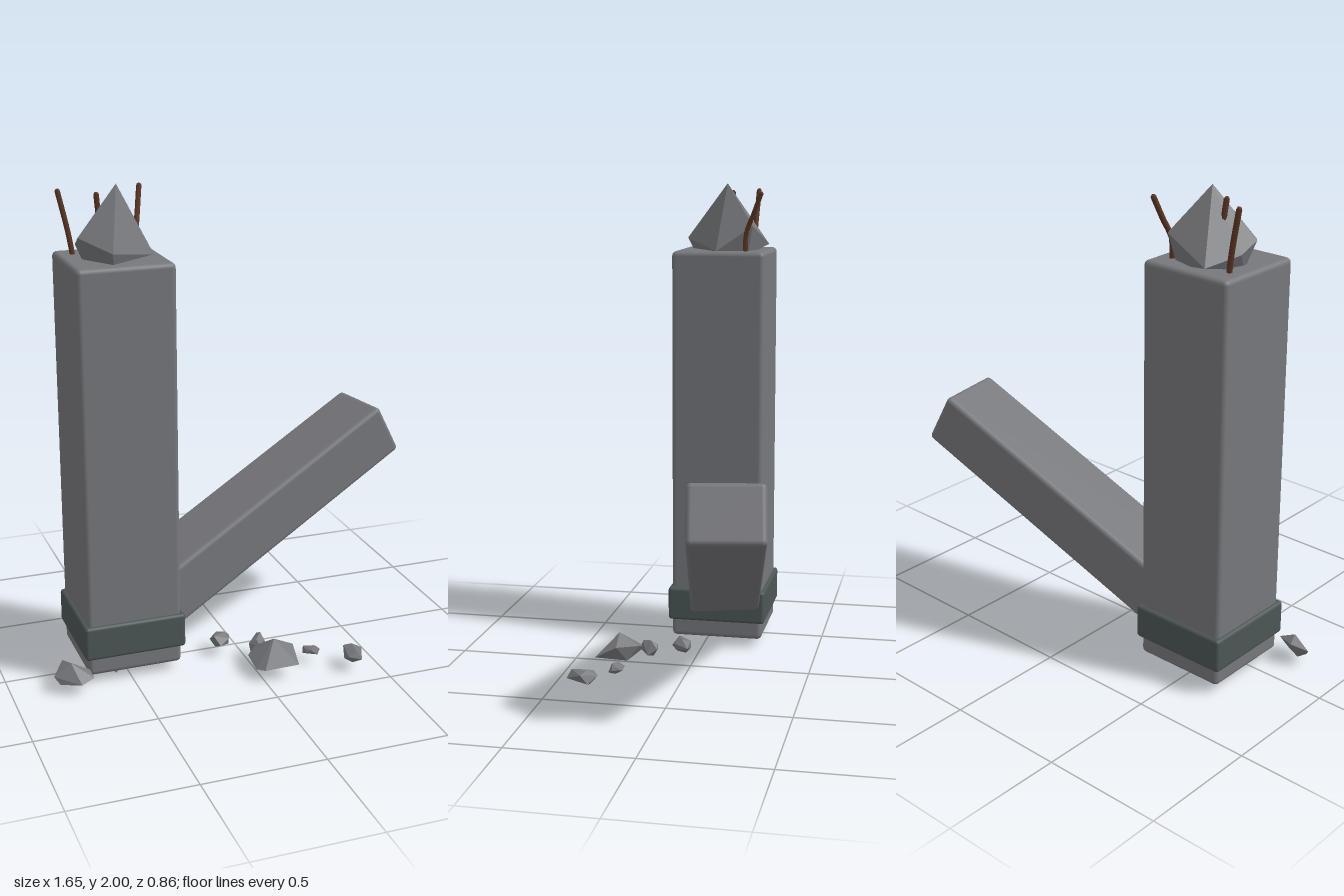
import * as THREE from 'three';
import { RoundedBoxGeometry } from 'three/addons/geometries/RoundedBoxGeometry.js';
import { ConvexGeometry } from 'three/addons/geometries/ConvexGeometry.js';

function material(name, color, flatShading = false) {
  const m = new THREE.MeshStandardMaterial({ color, flatShading });
  m.name = name;
  return m;
}

// Small seeded generator for rock irregularity
function seeded(seed) {
  let s = seed * 7919 + 17;
  return () => (s = (s * 16807) % 2147483647) / 2147483647;
}

// Convex chunk, turned by yaw and fitted to the box min..max
function rockGeometry(seed, min, max, yaw = 0, stretch = 1) {
  const rnd = seeded(seed), n = 11, pts = [];
  for (let i = 0; i < n; i++) {
    const y = 1 - (2 * (i + 0.5)) / n, r = Math.sqrt(1 - y * y), a = i * 2.4 + rnd() * 0.7;
    const k = 0.85 + rnd() * 0.3;
    const p = new THREE.Vector3(Math.cos(a) * r * k * stretch, y * k, Math.sin(a) * r * k);
    pts.push(p.applyAxisAngle(new THREE.Vector3(0, 1, 0), yaw));
  }
  const box = new THREE.Box3().setFromPoints(pts), size = box.getSize(new THREE.Vector3());
  const lo = new THREE.Vector3(...min), span = new THREE.Vector3(...max).sub(lo);
  for (const p of pts) p.sub(box.min).divide(size).multiply(span).add(lo);
  return new ConvexGeometry(pts);
}

const hull = (points) => new ConvexGeometry(points.map((p) => new THREE.Vector3(...p)));

export function createModel() {
  const model = new THREE.Group();
  model.name = 'ruinedPillar';
  const stone = material('stone', 0x77787c);
  const darkStone = material('dark band', 0x4c5656);
  const wood = material('dry twig', 0x5a3524);

  const add = (name, geometry, mat, x = 0, y = 0, z = 0) => {
    const mesh = new THREE.Mesh(geometry, mat);
    mesh.name = name;
    mesh.position.set(x, y, z);
    model.add(mesh);
    return mesh;
  };

  // Standing pillar and its base band
  add('pillar', new RoundedBoxGeometry(0.395, 1.685, 0.395, 3, 0.02), stone, -0.483, 0.8775, -0.058);
  add('baseBand', new RoundedBoxGeometry(0.425, 0.145, 0.425, 3, 0.014), darkStone, -0.483, 0.1825, -0.058);

  // Fallen block leaning against the pillar; its free end is at the given point
  const length = 1.32, yaw = 0.178, pitch = 0.49;
  const end = new THREE.Vector3(0.745, 0.85, -0.28);
  const along = new THREE.Vector3(
    Math.cos(pitch) * Math.cos(yaw), Math.sin(pitch), -Math.cos(pitch) * Math.sin(yaw));
  const beam = add('leaningBlock', new RoundedBoxGeometry(length, 0.237, 0.297, 3, 0.02), stone);
  beam.position.copy(end).addScaledVector(along, -length / 2);
  beam.rotation.set(0, yaw, pitch, 'YZX');

  // Pointed broken top
  add('brokenTop', hull([
    [-0.46, 2.0, -0.07],
    [-0.564, 1.74, -0.236], [-0.356, 1.825, -0.196], [-0.32, 1.72, -0.044],
    [-0.529, 1.765, 0.116], [-0.631, 1.81, -0.018], [-0.622, 1.77, -0.098],
    [-0.6, 1.7, -0.05], [-0.52, 1.7, 0.08], [-0.38, 1.7, -0.17],
  ]), stone);

  // Twigs growing around the top
  const twigs = [
    [[-0.615, 1.7, -0.16], [-0.63, 1.8, -0.165], [-0.665, 1.965, -0.175]],
    [[-0.352, 1.7, -0.165], [-0.353, 1.8, -0.17], [-0.338, 1.87, -0.2], [-0.32, 1.96, -0.235]],
    [[-0.52, 1.78, -0.08], [-0.528, 1.88, -0.087], [-0.536, 1.96, -0.082]],
  ];
  for (const points of twigs) {
    const curve = new THREE.CatmullRomCurve3(points.map((p) => new THREE.Vector3(...p)));
    add('twig', new THREE.TubeGeometry(curve, 8, 0.011, 6), wood);
    const tip = points[points.length - 1];
    add('twigTip', new THREE.SphereGeometry(0.011, 6, 4), wood, ...tip);
  }

  // Rubble scattered on the ground
  add('largeRubble', hull([
    [-0.031, 0.07, 0.245], [-0.027, 0.045, 0.33], [0, 0.05, 0.365], [0.143, 0.06, 0.378],
    [0.151, 0.11, 0.285], [0.08, 0.1, 0.205], [0.02, 0.08, 0.19], [0.065, 0.15, 0.29],
    [0.035, 0.02, 0.29], [0.1, 0.04, 0.25],
  ]), stone);
  add('leftRubble', hull([
    [-0.831, 0.07, 0.155], [-0.782, 0.11, 0.098], [-0.684, 0.08, 0.16], [-0.676, 0.06, 0.2],
    [-0.733, 0.05, 0.227], [-0.81, 0.04, 0.175], [-0.76, 0.12, 0.16], [-0.72, 0.04, 0.17],
    [-0.79, 0.035, 0.14],
  ]), stone);
  const rubble = [
    [3, [-0.13, 0.03, 0.015], [-0.035, 0.09, 0.1], 0.3, 1.3],
    [5, [-0.005, 0.05, 0.13], [0.08, 0.12, 0.21], 0.6, 1.5],
    [7, [0.21, 0.035, 0.23], [0.28, 0.08, 0.29], -0.5, 1.6],
    [9, [0.345, 0.03, 0.305], [0.43, 0.097, 0.425], 1.4, 1.4],
    [11, [-0.615, 0, -0.19], [-0.485, 0.08, 0.1], 1.5, 1.8], // stone wedged under the pillar
  ];
  for (const [seed, min, max, turn, stretch] of rubble) {
    add('rubble', rockGeometry(seed, min, max, turn, stretch), stone);
  }
  return model;
}
